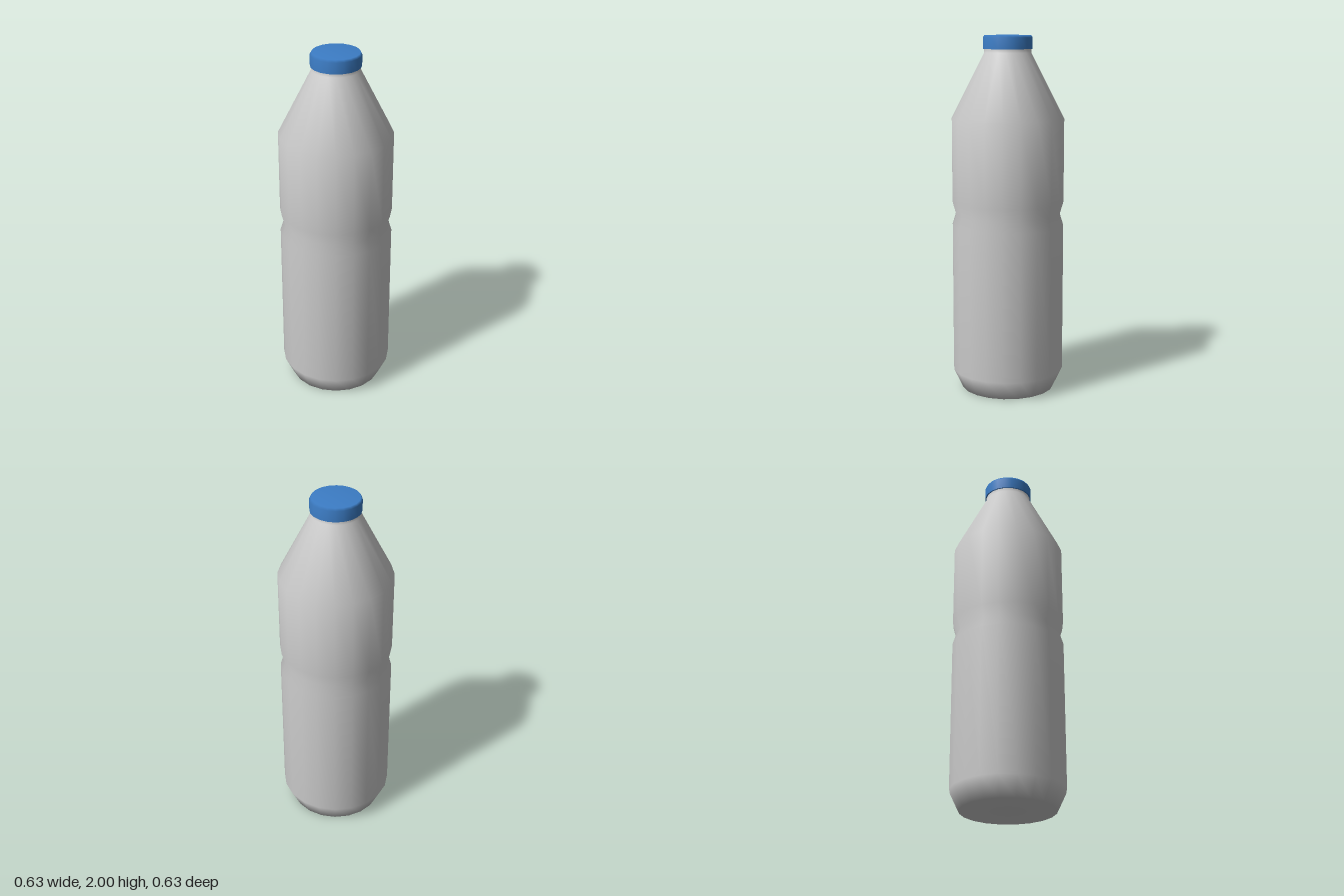
import * as THREE from 'three';

const SIDES = 20;

// Turns a list of [radius, height] points, bottom to top, into a named round part
function turned(name, profile, material) {
  const points = profile.map(([r, y]) => new THREE.Vector2(r, y));
  const mesh = new THREE.Mesh(new THREE.LatheGeometry(points, SIDES), material);
  mesh.name = name;
  return mesh;
}

export function createModel() {
  const plastic = new THREE.MeshStandardMaterial({ color: 0xcccccc });
  plastic.name = 'grey plastic';
  const blue = new THREE.MeshStandardMaterial({ color: 0x3c7dc6 });
  blue.name = 'blue cap plastic';

  const bottle = new THREE.Group();
  bottle.name = 'bottle';

  // Body: base, chamfer, lower wall, waist groove, upper wall, shoulder, neck
  bottle.add(turned('body', [
    [0, 0], [0.262, 0], [0.314, 0.11],
    [0.314, 0.945], [0.294, 1.01], [0.314, 1.08],
    [0.314, 1.545], [0.13, 1.905], [0.13, 1.93],
  ], plastic));

  // Screw cap with a small bevel around the top; the doubled point keeps its lower rim sharp
  bottle.add(turned('cap', [
    [0.12, 1.925], [0.137, 1.925], [0.137, 1.925],
    [0.137, 1.987], [0.129, 2], [0, 2],
  ], blue));

  return bottle;
}
